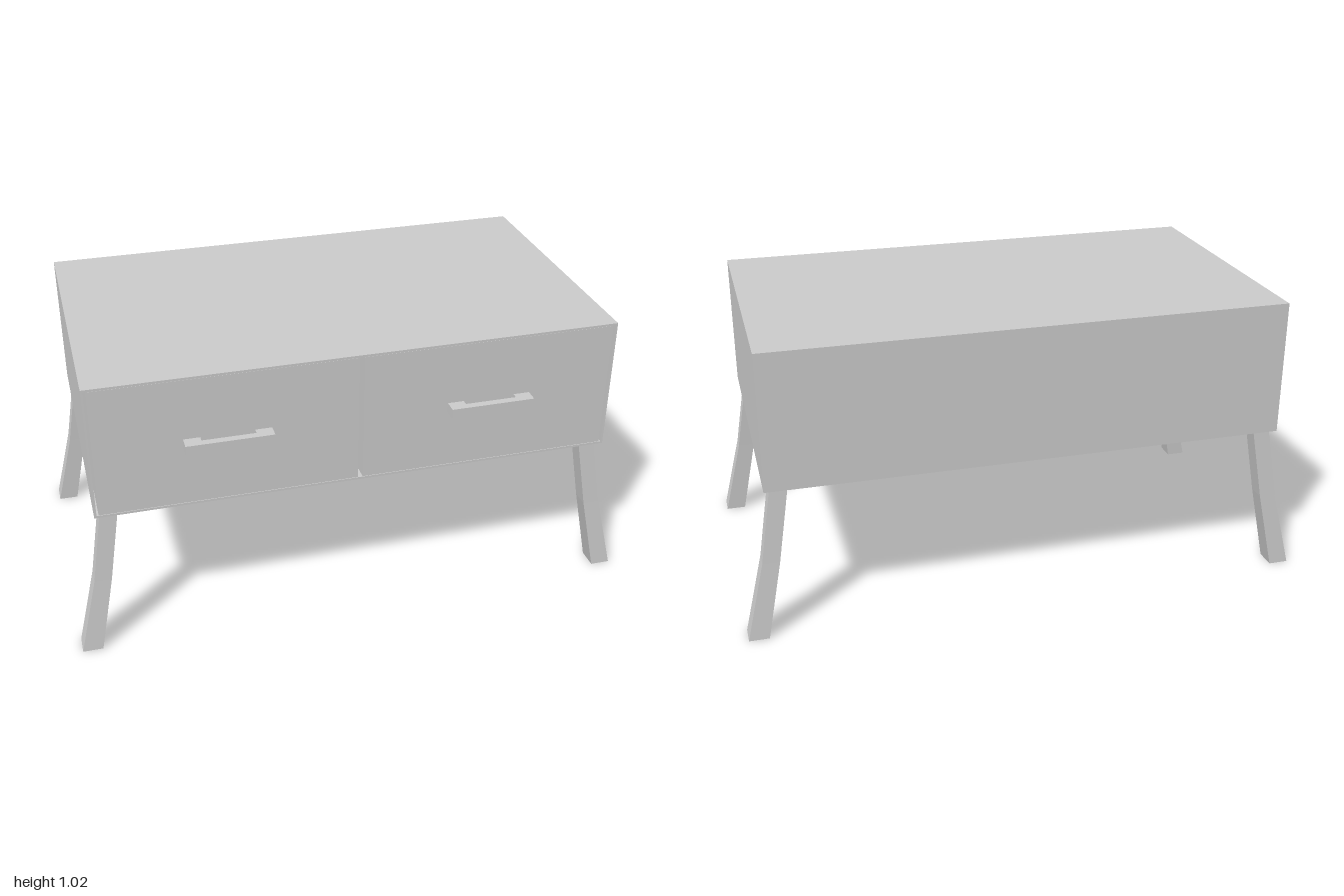
import * as THREE from 'three';

const material = new THREE.MeshStandardMaterial({ color: 0xcccccc, flatShading: true });

// Box given by its minimum and maximum corners
function box(name, [x0, y0, z0], [x1, y1, z1]) {
  const mesh = new THREE.Mesh(new THREE.BoxGeometry(x1 - x0, y1 - y0, z1 - z0), material);
  mesh.position.set((x0 + x1) / 2, (y0 + y1) / 2, (z0 + z1) / 2);
  mesh.name = name;
  return mesh;
}

// Splayed leg with one bend: rectangular sections [y, xIn, xOut, zIn, zOut]
function leg(name, sx, sz, midZ) {
  const sections = [
    [0, 0.93, 1.0, 0.451, 0.524],
    [0.28, 0.874, 0.933, 0.441, 0.505],
    [0.547, 0.83, 0.89, 0.428, 0.489],
  ];
  const geometry = new THREE.BoxGeometry(1, 1, 1, 1, 2, 1);
  const p = geometry.attributes.position;
  for (let i = 0; i < p.count; i++) {
    const [y, xIn, xOut, zIn, zOut] = sections[Math.round((p.getY(i) + 0.5) * 2)];
    const x = p.getX(i) * sx > 0 ? xOut : xIn;
    const z = p.getZ(i) * sz > 0 ? zOut : zIn;
    p.setXYZ(i, x * sx, y, z * sz + midZ);
  }
  geometry.computeVertexNormals();
  const mesh = new THREE.Mesh(geometry, material);
  mesh.name = name;
  return mesh;
}

// U-shaped pull, drawn in plan and extruded upwards
function handle(name, x) {
  const outer = 0.148, inner = 0.091, depth = 0.047, gap = 0.021;
  const shape = new THREE.Shape([
    [-outer, 0], [-inner, 0], [-inner, -gap], [inner, -gap],
    [inner, 0], [outer, 0], [outer, -depth], [-outer, -depth],
  ].map(([a, b]) => new THREE.Vector2(a, b)));
  const geometry = new THREE.ExtrudeGeometry(shape, { depth: 0.035, bevelEnabled: false });
  geometry.rotateX(-Math.PI / 2);
  const mesh = new THREE.Mesh(geometry, material);
  mesh.position.set(x, 0.765, 0.497);
  mesh.name = name;
  return mesh;
}

export function createModel() {
  const model = new THREE.Group();
  model.name = 'cabinet';
  const W = 0.91, bottom = 0.545, top = 1.025, back = -0.532, front = 0.497, t = 0.008;

  // Thin-walled carcass, open at the front
  const carcass = new THREE.Group();
  carcass.name = 'carcass';
  carcass.add(
    box('topPanel', [-W, top - t, back], [W, top, front]),
    box('bottomPanel', [-W, bottom, back], [W, bottom + t, front]),
    box('backPanel', [-W, bottom + t, back], [W, top - t, back + t]),
    box('leftPanel', [W - t, bottom + t, back + t], [W, top - t, front]),
    box('rightPanel', [-W, bottom + t, back + t], [-W + t, top - t, front]),
  );
  model.add(carcass);

  // Two drawers with a narrow gap around each, and their pulls
  for (const [side, s] of [['left', 1], ['right', -1]]) {
    const xs = [0.008 * s, 0.895 * s].sort((a, b) => a - b);
    model.add(
      box(side + 'Drawer', [xs[0], bottom + t + 0.001, back + 0.03], [xs[1], top - t - 0.001, front - 0.001]),
      handle(side + 'Handle', 0.454 * s),
    );
    // Legs at the front and back corners
    model.add(leg(side + 'FrontLeg', s, 1, -0.02), leg(side + 'BackLeg', s, -1, -0.02));
  }
  return model;
}
